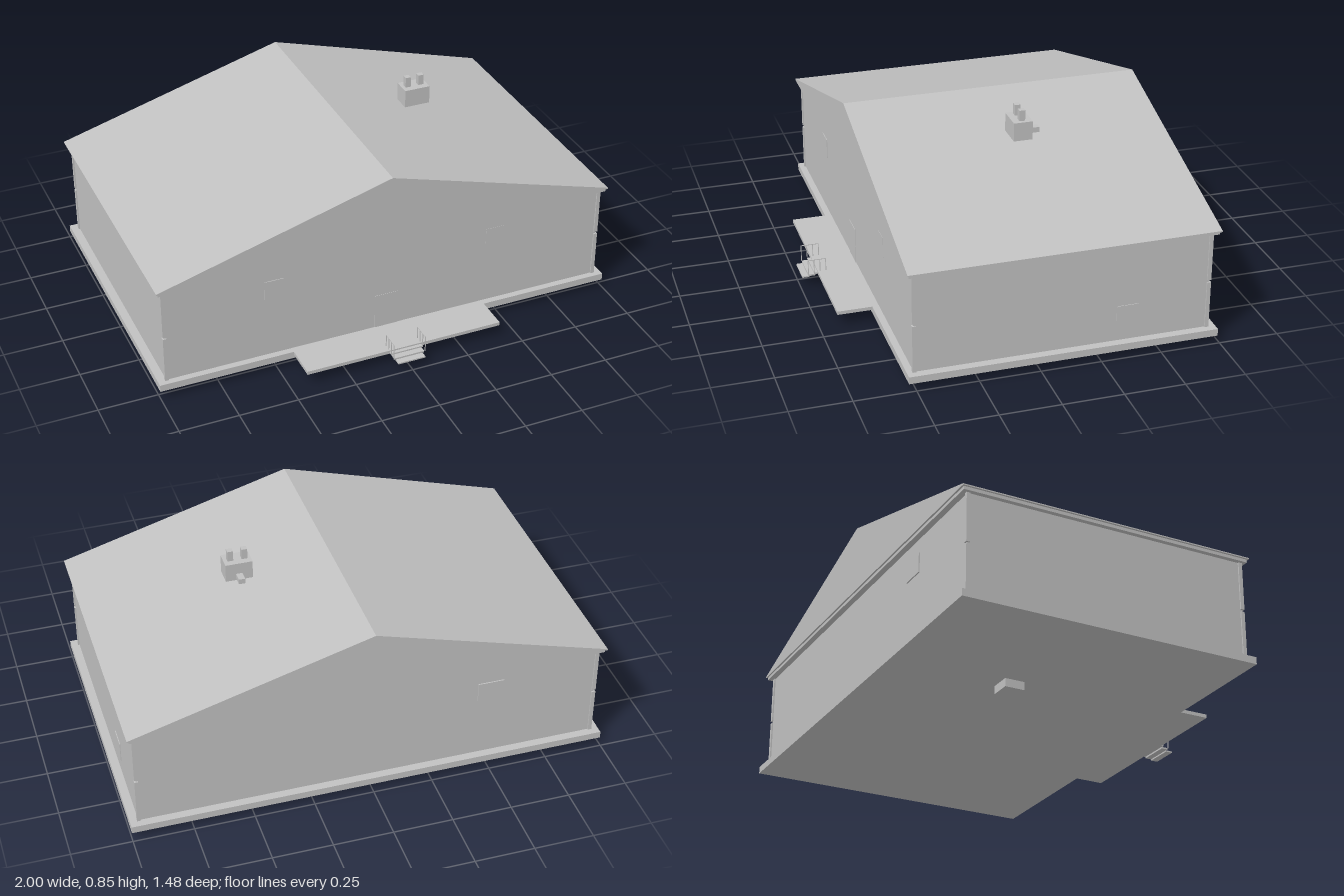
import * as THREE from 'three';

export function createModel() {
  const house = new THREE.Group();
  house.name = 'house';
  const grey = new THREE.MeshStandardMaterial({ color: 0xc0c0c0 });
  grey.name = 'plain grey';

  // Box given by its minimum and maximum on each axis
  function box(name, x0, x1, y0, y1, z0, z1, parent = house) {
    const mesh = new THREE.Mesh(new THREE.BoxGeometry(x1 - x0, y1 - y0, z1 - z0), grey);
    mesh.position.set((x0 + x1) / 2, (y0 + y1) / 2, (z0 + z1) / 2);
    mesh.name = name;
    parent.add(mesh);
    return mesh;
  }
  function group(name) {
    const g = new THREE.Group();
    g.name = name;
    house.add(g);
    return g;
  }

  // Foundation, walls and the drain box underneath
  box('foundation', -1, 1, 0.035, 0.065, -0.74, 0.53);
  box('walls', -0.965, 0.965, 0.065, 0.482, -0.705, 0.502);
  box('drainBox', -0.43, -0.34, 0, 0.035, -0.265, -0.18);

  // Corner trim in two lengths with a small gap between
  const trim = group('cornerTrim');
  for (const x of [-0.963, 0.963]) {
    for (const z of [-0.703, 0.5]) {
      for (const [y0, y1] of [[0.065, 0.266], [0.276, 0.482]]) {
        box('cornerBoard', x - 0.008, x + 0.008, y0, y1, z - 0.008, z + 0.008, trim);
      }
    }
  }

  // Eave board and gable roof
  box('eaveBoard', -0.985, 0.985, 0.481, 0.496, -0.73, 0.522);
  const gable = new THREE.Shape([
    new THREE.Vector2(-0.993, 0.494), new THREE.Vector2(0.993, 0.494),
    new THREE.Vector2(0.993, 0.499), new THREE.Vector2(0, 0.785),
    new THREE.Vector2(-0.993, 0.499),
  ]);
  const roof = new THREE.Mesh(
    new THREE.ExtrudeGeometry(gable, { depth: 1.265, bevelEnabled: false }), grey);
  roof.position.z = -0.737;
  roof.name = 'roof';
  house.add(roof);

  // Chimney with two flues and a rear vent
  const chimney = group('chimney');
  box('chimneyBlock', 0.327, 0.44, 0.727, 0.805, -0.142, -0.063, chimney);
  for (const x of [0.353, 0.412]) box('flue', x - 0.012, x + 0.012, 0.805, 0.85, -0.115, -0.091, chimney);
  box('vent', 0.37, 0.397, 0.735, 0.757, -0.185, -0.142, chimney);

  // Porch and steps
  box('porch', -0.43, 0.43, 0.05, 0.065, 0.53, 0.675);
  const steps = group('steps');
  box('upperStep', -0.07, 0.07, 0.053, 0.059, 0.675, 0.69, steps);
  box('middleStep', -0.066, 0.066, 0.045, 0.052, 0.685, 0.715, steps);
  box('lowerStep', -0.06, 0.06, 0.037, 0.043, 0.71, 0.74, steps);

  // Thin handrails on both sides of the steps
  const rails = group('handrails');
  for (const x of [-0.07, 0.07]) {
    box('topRail', x - 0.0015, x + 0.0015, 0.119, 0.122, 0.64, 0.716, rails);
    for (const [z, y] of [[0.64, 0.065], [0.665, 0.065], [0.69, 0.055], [0.715, 0.05]]) {
      box('railPost', x - 0.0015, x + 0.0015, y, 0.12, z - 0.0015, z + 0.0015, rails);
    }
  }

  // Thin door and window panels
  const openings = group('openings');
  box('frontDoor', -0.06, 0.04, 0.065, 0.22, 0.5, 0.504, openings);
  box('frontWindow', -0.54, -0.46, 0.33, 0.418, 0.5, 0.505, openings);
  box('frontWindow', 0.44, 0.52, 0.33, 0.418, 0.5, 0.503, openings);
  box('backWindow', -0.56, -0.45, 0.335, 0.42, -0.71, -0.703, openings);
  box('sideWindow', 0.963, 0.968, 0.13, 0.217, -0.41, -0.32, openings);

  return house;
}
